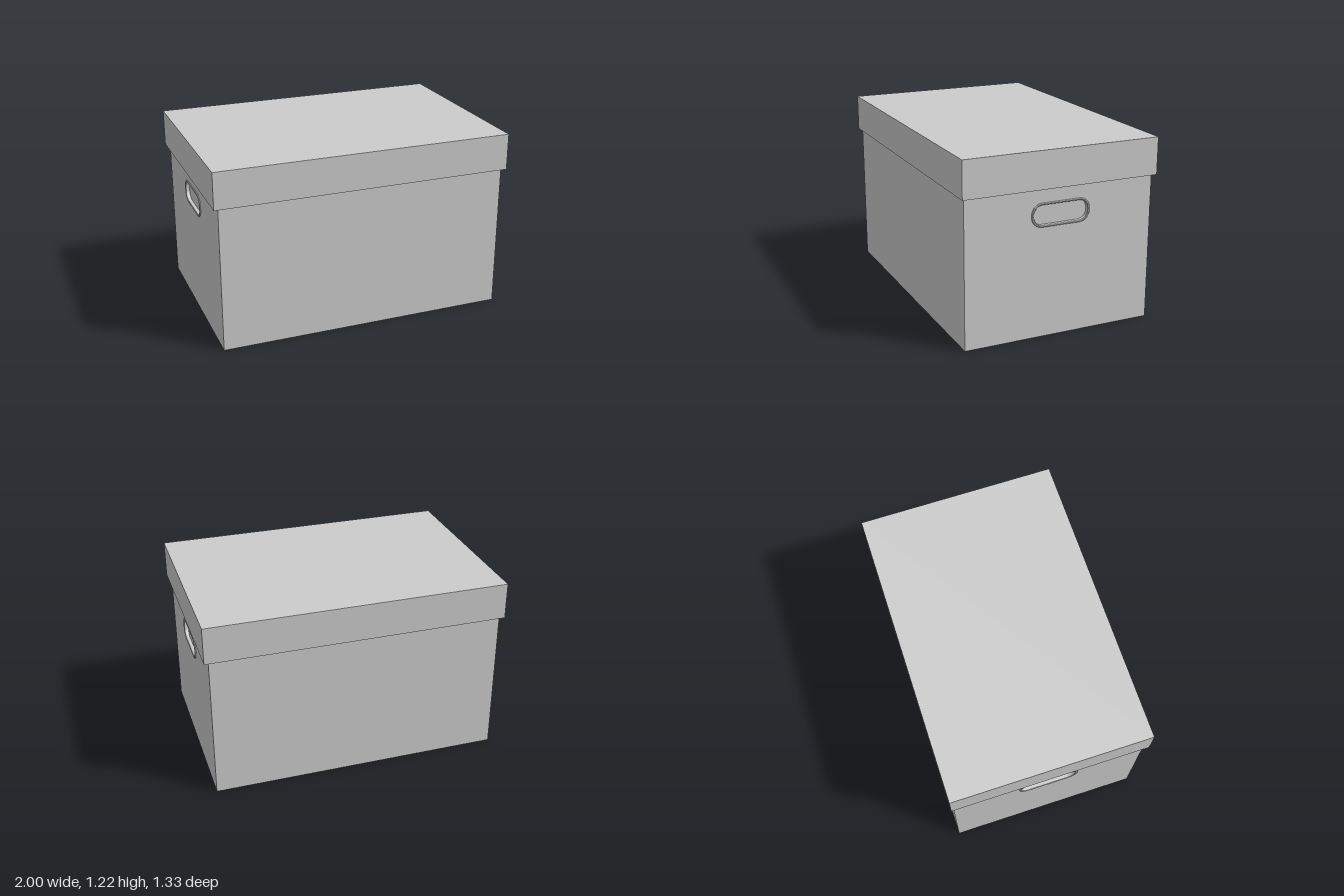
import * as THREE from 'three';

const BODY = { x: 0.97, z: 0.645, h: 1.19 };
const LID = { x: 1, z: 0.665, bottom: 0.975, top: 1.22, wall: 0.012 };
const HANDLE_Y = 0.805, PANEL = 0.02;

// Rectangle with rounded corners, centred on (0, cy)
function roundedRect(Type, w, h, r, cy = 0) {
  const p = new Type();
  const corners = [[1, 1, 0], [-1, 1, 1], [-1, -1, 2], [1, -1, 3]];
  for (const [sx, sy, q] of corners) {
    p.absarc(sx * (w / 2 - r), cy + sy * (h / 2 - r), r, q * Math.PI / 2, (q + 1) * Math.PI / 2, false);
  }
  p.closePath();
  return p;
}

function rect(Type, x, y0, y1) {
  return new Type([[-x, y0], [x, y0], [x, y1], [-x, y1]].map(([a, b]) => new THREE.Vector2(a, b)));
}

export function createModel() {
  const model = new THREE.Group();
  const material = new THREE.MeshStandardMaterial({ color: 0xcccccc, flatShading: true });

  function add(name, geometry, parent = model) {
    const mesh = new THREE.Mesh(geometry, material);
    mesh.name = name;
    parent.add(mesh);
    return mesh;
  }

  // Box body between the two end panels
  const core = BODY.x - PANEL;
  add('boxBody', new THREE.BoxGeometry(core * 2, BODY.h, BODY.z * 2)).position.y = BODY.h / 2;

  // End panels with a hand hole and a thin raised rim
  for (const [side, turn] of [['left', 0], ['right', Math.PI]]) {
    const end = new THREE.Group();
    end.name = side + 'End';
    end.rotation.y = turn;
    model.add(end);

    const panel = rect(THREE.Shape, BODY.z, 0, BODY.h);
    panel.holes.push(roundedRect(THREE.Path, 0.385, 0.145, 0.066, HANDLE_Y));
    const panelGeo = new THREE.ExtrudeGeometry(panel, { depth: PANEL, bevelEnabled: false, curveSegments: 4 });
    add(side + 'Panel', panelGeo.rotateY(Math.PI / 2).translate(core, 0, 0), end);

    const rim = roundedRect(THREE.Shape, 0.394, 0.148, 0.068, HANDLE_Y);
    rim.holes.push(roundedRect(THREE.Path, 0.378, 0.138, 0.062, HANDLE_Y));
    const rimGeo = new THREE.ExtrudeGeometry(rim, {
      depth: PANEL + 0.003, curveSegments: 4,
      bevelThickness: 0.004, bevelSize: 0.004, bevelSegments: 1,
    });
    add(side + 'HandleRim', rimGeo.rotateY(Math.PI / 2).translate(core, 0, 0), end);
  }

  // Lid: hollow skirt closed by a top sheet
  const skirt = rect(THREE.Shape, LID.x, -LID.z, LID.z);
  skirt.holes.push(rect(THREE.Path, LID.x - LID.wall, -LID.z + LID.wall, LID.z - LID.wall));
  const skirtGeo = new THREE.ExtrudeGeometry(skirt, {
    depth: LID.top - LID.bottom - LID.wall, bevelEnabled: false,
  });
  add('lidSkirt', skirtGeo.rotateX(-Math.PI / 2).translate(0, LID.bottom, 0));
  add('lidTop', new THREE.BoxGeometry(LID.x * 2, LID.wall, LID.z * 2)).position.y = LID.top - LID.wall / 2;

  return model;
}
